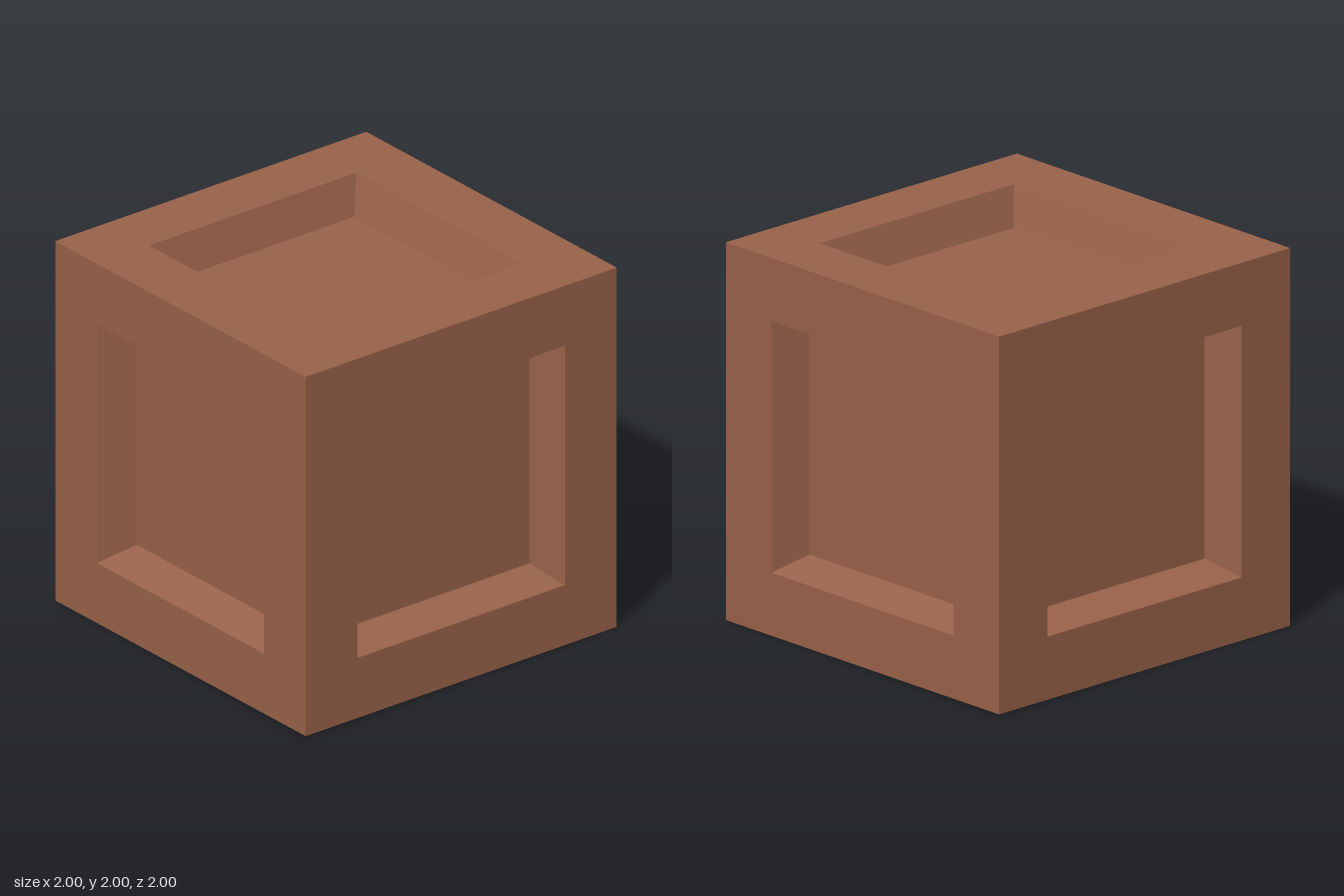
import * as THREE from 'three';

const HALF = 1;         // half the cube's side
const RIM = 0.666;      // half-width of the recess opening
const FLOOR = 0.6;      // half-width of the recess floor
const DEPTH = 0.2;      // recess depth

// Four-sided ring swept through [half-width, height] steps, with flat faces
function squareRing(steps) {
  const points = steps.map(([w, h]) => new THREE.Vector2(w * Math.SQRT2, h));
  const geometry = new THREE.LatheGeometry(points, 4, Math.PI / 4).toNonIndexed();
  geometry.computeVertexNormals();
  return geometry;
}

function square(halfWidth, height) {
  return new THREE.PlaneGeometry(halfWidth * 2, halfWidth * 2)
    .rotateX(-Math.PI / 2)
    .translate(0, height, 0);
}

export function createModel() {
  const brown = new THREE.MeshStandardMaterial({ color: 0x99624a });
  brown.name = 'brown';

  const model = new THREE.Group();
  model.name = 'crate';

  const frameGeometry = squareRing([[HALF, HALF], [RIM, HALF]]);
  const wallGeometry = squareRing([[RIM, HALF], [FLOOR, HALF - DEPTH]]);
  const floorGeometry = square(FLOOR, HALF - DEPTH);

  const addMesh = (parent, name, geometry) => {
    const mesh = new THREE.Mesh(geometry, brown);
    mesh.name = name;
    parent.add(mesh);
  };

  // Each side is built facing up, then turned about the cube's centre
  const addSide = (name, rx, rz) => {
    const side = new THREE.Group();
    side.name = name;
    side.position.y = HALF;
    side.rotation.set(rx, 0, rz);
    model.add(side);
    return side;
  };

  // Five sides with a recessed panel
  const q = Math.PI / 2;
  const recessed = [
    ['topSide', 0, 0],
    ['frontSide', q, 0],
    ['backSide', -q, 0],
    ['leftSide', 0, -q],
    ['rightSide', 0, q],
  ];
  for (const [name, rx, rz] of recessed) {
    const side = addSide(name, rx, rz);
    addMesh(side, 'frame', frameGeometry);
    addMesh(side, 'recessWalls', wallGeometry);
    addMesh(side, 'recessPanel', floorGeometry);
  }

  // Plain base
  addMesh(addSide('bottomSide', Math.PI, 0), 'base', square(HALF, HALF));

  return model;
}
